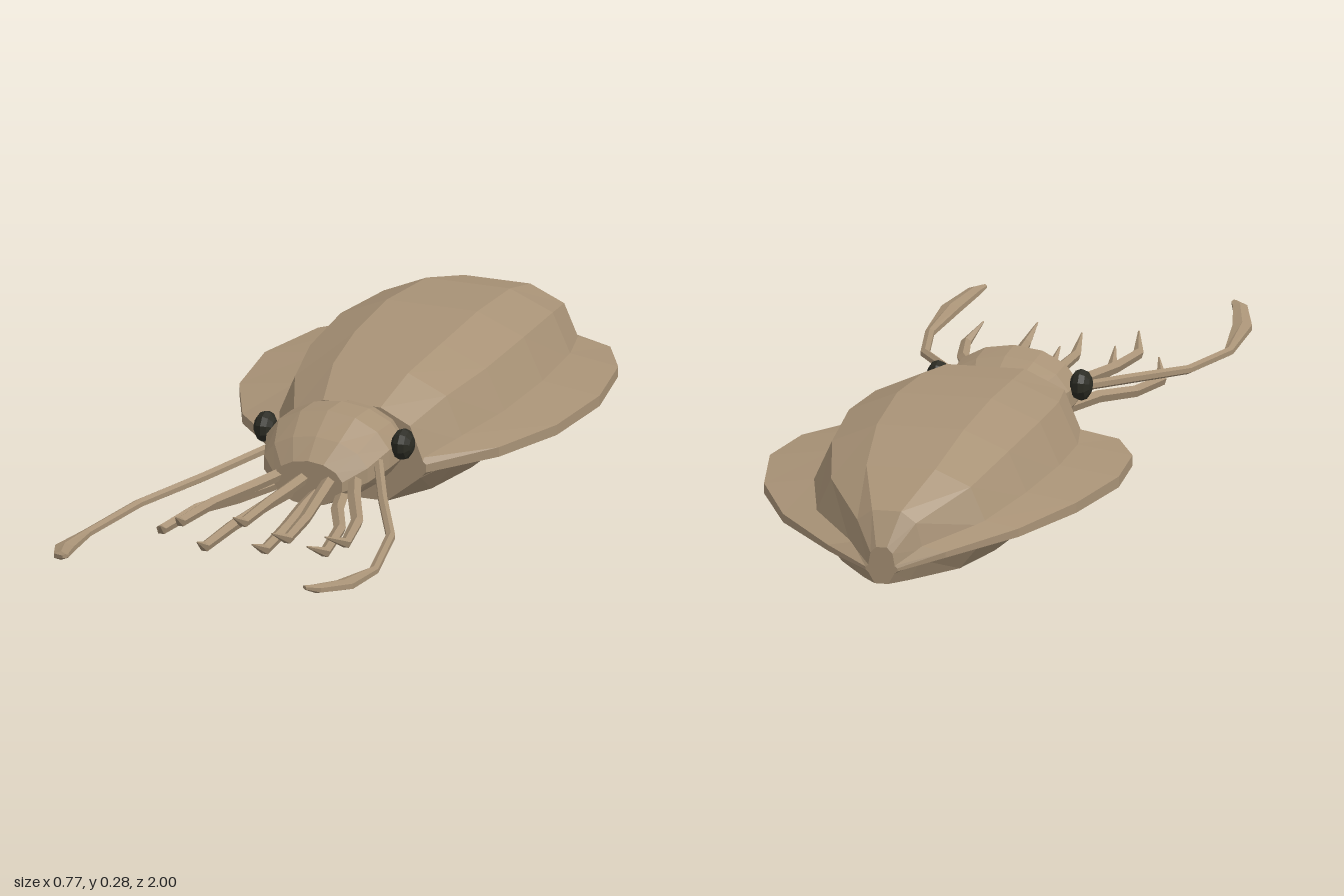
import * as THREE from 'three';

const skin = new THREE.MeshStandardMaterial({ color: 0xa89276, flatShading: true });
skin.name = 'skin';
const eyeDark = new THREE.MeshStandardMaterial({ color: 0x2b2b23, flatShading: true });
eyeDark.name = 'eyeDark';

// Skin a series of equal-sized rings (counter-clockwise seen from +z, running toward +z)
function loft(rings) {
  const n = rings[0].length, idx = [];
  rings.slice(1).forEach((_, i) => {
    for (let j = 0; j < n; j++) {
      const a = i * n + j, b = i * n + (j + 1) % n;
      idx.push(a, b, b + n, a, b + n, a + n);
    }
  });
  const last = (rings.length - 1) * n;
  for (let j = 1; j < n - 1; j++) idx.push(0, j + 1, j, last, last + j, last + j + 1);
  const g = new THREE.BufferGeometry();
  g.setAttribute('position', new THREE.Float32BufferAttribute(rings.flat(2), 3));
  g.setIndex(idx);
  g.computeVertexNormals();
  return g;
}

// Tapered limb through points [x, y, z, half width, half height]
function limb(points, sides) {
  return loft(points.map((p, i) => {
    const a = points[Math.max(i - 1, 0)], b = points[Math.min(i + 1, points.length - 1)];
    const turn = Math.atan2(b[0] - a[0], b[2] - a[2]);
    return Array.from({ length: sides }, (_, k) => {
      const t = (k / sides) * Math.PI * 2 + Math.PI / 2, w = Math.cos(t) * p[3];
      return [p[0] + w * Math.cos(turn), p[1] + Math.sin(t) * p[4], p[2] - w * Math.sin(turn)];
    });
  }));
}

export function createModel() {
  const model = new THREE.Group();
  const add = (name, geometry, material = skin) => {
    const mesh = new THREE.Mesh(geometry, material);
    mesh.name = name;
    model.add(mesh);
    return mesh;
  };

  // Body stations: z, top height, half width, flat-bottom half width, fin half width
  const stations = [
    [-1, 0.08, 0.03, 0.015, 0.035], [-0.955, 0.15, 0.08, 0.05, 0.13],
    [-0.83, 0.215, 0.19, 0.13, 0.26], [-0.66, 0.262, 0.24, 0.165, 0.345],
    [-0.45, 0.28, 0.26, 0.18, 0.385], [-0.25, 0.272, 0.25, 0.17, 0.365],
    [-0.09, 0.255, 0.215, 0.14, 0.295], [0.02, 0.21, 0.165, 0.08, 0.17],
  ];

  // Mantle with a flat underside
  add('mantle', loft(stations.map(([z, top, w, base]) => {
    const half = [[base, 0], [w * 0.96, top * 0.3], [w, top * 0.46], [w * 0.81, top * 0.84], [w * 0.4, top]];
    return [...half, ...half.map(([x, y]) => [-x, y]).reverse()].map(([x, y]) => [x, y, z]);
  })));

  // Fins skirting both sides of the mantle
  for (const side of [1, -1]) {
    add(side > 0 ? 'leftFin' : 'rightFin', loft(stations.map(([z, top, w, , fin]) => {
      const ring = [[w * 0.93, top * 0.28], [fin, top * 0.36], [fin, top * 0.445], [w * 0.95, top * 0.51]]
        .map(([x, y]) => [x * side, y, z]);
      return side > 0 ? ring : ring.reverse();
    })));
  }

  // Head
  add('head', limb([
    [0, 0.13, -0.02, 0.1, 0.07], [0, 0.137, 0.02, 0.12, 0.08], [0, 0.146, 0.08, 0.145, 0.09],
    [0, 0.148, 0.16, 0.145, 0.093], [0, 0.131, 0.23, 0.122, 0.073], [0, 0.113, 0.275, 0.08, 0.05],
  ], 14));

  // Eight arms, alternating low and high, with hooked tips
  const tipZ = [0.635, 0.685, 0.705, 0.64, 0.675, 0.705, 0.645, 0.685];
  tipZ.forEach((z, i) => {
    const s = (i - 3.5) / 3.5, high = i % 2;
    const y = high ? 0.12 : 0.088, bend = high ? 0.118 : 0.076;
    add('arm' + (i + 1), limb([
      [s * 0.09, y, 0.23, 0.015, 0.014],
      [s * 0.135, y, 0.35, 0.015, 0.014],
      [s * 0.195, (y + bend) / 2, z - 0.2, 0.014, 0.013],
      [s * 0.222, bend, z - 0.065, 0.012, 0.012],
      [s * 0.2, bend + 0.032, z, 0.002, 0.002],
    ], 5));
  });

  // Long feeding tentacles with flattened clubs, and eyes
  for (const side of [1, -1]) {
    const name = side > 0 ? 'left' : 'right';
    add(name + 'Tentacle', limb([
      [0.11, 0.152, 0.15, 0.011, 0.011], [0.205, 0.13, 0.36, 0.011, 0.011],
      [0.29, 0.113, 0.53, 0.011, 0.01], [0.33, 0.106, 0.73, 0.011, 0.01],
      [0.322, 0.122, 0.88, 0.024, 0.012], [0.293, 0.14, 0.975, 0.018, 0.01],
      [0.275, 0.147, 0.995, 0.008, 0.005],
    ].map(([x, ...rest]) => [x * side, ...rest]), 6));

    const eye = add(name + 'Eye', new THREE.SphereGeometry(0.035, 10, 6), eyeDark);
    eye.rotation.z = Math.PI / 2;
    eye.scale.y = 0.7;
    eye.position.set(side * 0.158, 0.172, 0.122);
  }

  return model;
}
